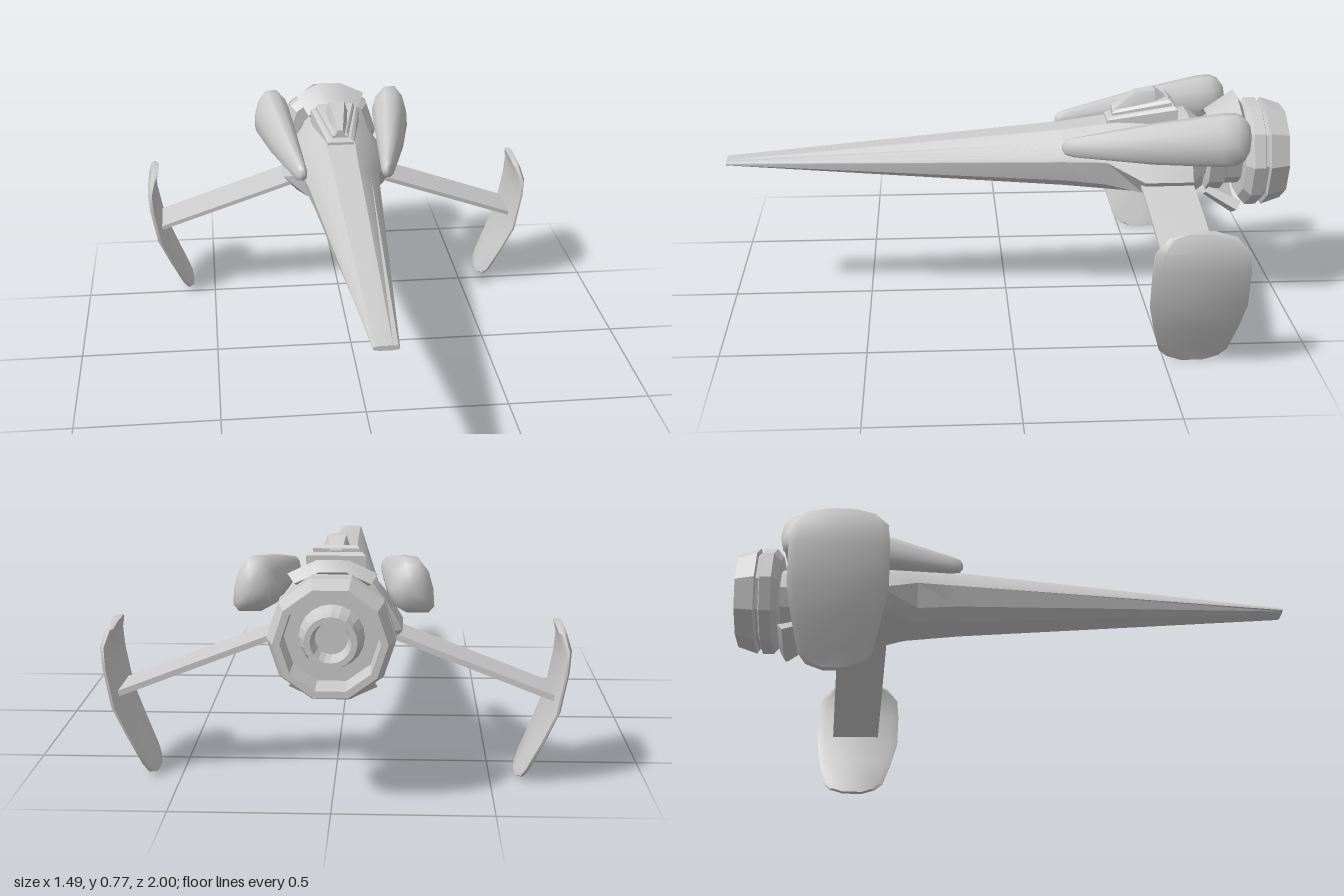
import * as THREE from 'three';
import { toCreasedNormals } from 'three/addons/utils/BufferGeometryUtils.js';

const AXIS_Y = 0.535; // height of the engine axis

// Skin a list of equal-length closed rings, cap both ends, face outward
function loft(rings, crease = 0.45) {
  const n = rings[0].length, tris = [];
  const mid = r => r.reduce((s, p) => s.add(p), new THREE.Vector3()).divideScalar(n);
  for (let i = 0; i < rings.length - 1; i++) {
    for (let j = 0; j < n; j++) {
      const k = (j + 1) % n, a = rings[i], b = rings[i + 1];
      tris.push([a[j], a[k], b[k]], [a[j], b[k], b[j]]);
    }
  }
  const first = rings[0], last = rings[rings.length - 1], c0 = mid(first), c1 = mid(last);
  for (let j = 0; j < n; j++) {
    const k = (j + 1) % n;
    tris.push([c0, first[k], first[j]], [c1, last[j], last[k]]);
  }
  let volume = 0;
  const cross = new THREE.Vector3();
  const o = mid(rings[0]);
  for (const [a, b, c] of tris) {
    volume += a.clone().sub(o).dot(cross.crossVectors(b.clone().sub(o), c.clone().sub(o)));
  }
  if (volume < 0) tris.forEach(t => t.reverse());
  const geo = new THREE.BufferGeometry().setFromPoints(tris.flat());
  return toCreasedNormals(geo, crease);
}

const V = (x, y, z) => new THREE.Vector3(x, y, z);

export function createModel() {
  const model = new THREE.Group();
  const smooth = new THREE.MeshStandardMaterial({ color: 0xcccccc });
  const flat = new THREE.MeshStandardMaterial({ color: 0xcccccc, flatShading: true, side: THREE.DoubleSide });
  const add = (name, geo, mat = smooth) => {
    const mesh = new THREE.Mesh(geo, mat);
    mesh.name = name;
    model.add(mesh);
    return mesh;
  };

  // Needle hull: half sections run from the top ridge down to the keel
  const hullSections = [
    [1.0, [[0.02, 0.541], [0.036, 0.539], [0.04, 0.535], [0.041, 0.53], [0.036, 0.527], [0.02, 0.525]]],
    [-0.2, [[0.05, 0.645], [0.095, 0.61], [0.122, 0.565], [0.132, 0.55], [0.115, 0.475], [0.06, 0.438]]],
    [-0.35, [[0.055, 0.664], [0.108, 0.62], [0.137, 0.575], [0.147, 0.55], [0.125, 0.46], [0.07, 0.425]]],
    [-0.48, [[0.06, 0.678], [0.12, 0.635], [0.168, 0.575], [0.215, 0.495], [0.165, 0.44], [0.08, 0.415]]],
    [-0.65, [[0.06, 0.69], [0.12, 0.645], [0.17, 0.575], [0.215, 0.495], [0.165, 0.435], [0.08, 0.405]]],
    [-0.7, [[0.05, 0.655], [0.09, 0.625], [0.125, 0.565], [0.14, 0.5], [0.11, 0.445], [0.06, 0.42]]],
  ];
  add('hull', loft(hullSections.map(([z, half]) => [
    ...half.map(([x, y]) => V(x, y, z)),
    ...half.slice().reverse().map(([x, y]) => V(-x, y, z)),
  ])));

  // Cockpit: two stepped trapezoid frames and a faceted canopy
  const tier = (y, grow) => [
    V(-0.05 + grow, y, -0.36 - grow), V(0.05 - grow, y, -0.36 - grow),
    V(0.095 - grow, y + 0.05, -0.605 + grow), V(-0.095 + grow, y + 0.05, -0.605 + grow),
  ];
  add('cockpitBase', loft([tier(0.62, 0), tier(0.675, 0), tier(0.685, 0.012)]));
  add('cockpitFrame', loft([tier(0.67, 0.02), tier(0.695, 0.02), tier(0.705, 0.028)]));
  const canopy = [
    [-0.38, 0.018, 0.70, 0.715, 0.01], [-0.46, 0.034, 0.725, 0.77, 0.022],
    [-0.53, 0.045, 0.735, 0.78, 0.03], [-0.59, 0.03, 0.725, 0.74, 0.018],
  ];
  add('canopy', loft(canopy.map(([z, w, y, top, t]) => [
    V(w, 0.67, z), V(w, y, z), V(t, top, z), V(-t, top, z), V(-w, y, z), V(-w, 0.67, z),
  ])));

  // Engine parts are turned around the z axis; profiles are [radius, z]
  const turn = (name, profile, sides) => {
    const geo = new THREE.LatheGeometry(profile.map(([r, z]) => new THREE.Vector2(r, -z)), sides, Math.PI / 2);
    geo.rotateX(-Math.PI / 2).translate(0, AXIS_Y, 0);
    return add(name, geo, flat);
  };
  turn('engineNeck', [[0, -0.66], [0.09, -0.66], [0.09, -0.72], [0.135, -0.725], [0.135, -0.78],
    [0.115, -0.79], [0.115, -0.86]], 10);
  turn('engineBell', [[0.1, -0.845], [0.165, -0.845], [0.195, -0.87], [0.195, -0.91], [0.18, -0.915],
    [0.18, -0.925], [0.195, -0.93], [0.172, -1], [0.15, -1], [0.145, -0.9], [0, -0.9]], 10);
  turn('engineNozzle', [[0.1, -0.9], [0.085, -0.935], [0.08, -0.98], [0.062, -0.98], [0.05, -0.92], [0, -0.92]], 20);

  // Flared shields above and below the neck
  const shieldProfile = [[0.155, -0.72], [0.135, -0.735], [0.19, -0.845], [0.225, -0.825]];
  for (const [name, up] of [['upperShield', 1], ['lowerShield', -1]]) {
    add(name, loft([-0.66, -0.22, 0.22, 0.66].map(a =>
      shieldProfile.map(([r, z]) => V(r * Math.sin(a), AXIS_Y + up * r * Math.cos(a), z)))));
  }

  // Teardrop pod: a wedge-like section [x, y], -1..1, swept along the side
  const podShape = [[-0.3, 1], [0.3, 1], [0.75, 0.5], [0.95, -0.1], [1, -0.75], [0.75, -1],
    [-0.2, -1], [-0.85, -0.7], [-1, -0.1], [-0.8, 0.5]];
  const pod = [ // z, centre x, centre y, half width, half height
    [-0.19, 0.157, 0.615, 0.006, 0.01], [-0.2, 0.158, 0.615, 0.016, 0.024], [-0.23, 0.163, 0.617, 0.024, 0.032],
    [-0.5, 0.206, 0.642, 0.054, 0.066], [-0.73, 0.236, 0.663, 0.072, 0.085], [-0.78, 0.24, 0.667, 0.07, 0.084],
    [-0.81, 0.24, 0.668, 0.058, 0.07], [-0.828, 0.24, 0.668, 0.038, 0.046], [-0.835, 0.24, 0.668, 0.014, 0.018],
  ];

  // Bowed fin: y, x on the mid-surface, front z, back z
  const fin = [
    [0.512, 0.713, -0.54, -0.64], [0.497, 0.719, -0.48, -0.70], [0.45, 0.732, -0.437, -0.745],
    [0.38, 0.727, -0.43, -0.75], [0.25, 0.703, -0.43, -0.75], [0.15, 0.661, -0.452, -0.733],
    [0.05, 0.616, -0.48, -0.71], [0.02, 0.602, -0.51, -0.685], [0.006, 0.597, -0.55, -0.64],
  ];
  // Plate section: thickness factor at each fraction of the chord
  const plate = [[0, 0.3], [0.08, 1], [0.5, 1.1], [0.92, 1], [1, 0.3]];
  const plateRing = ([y, x, z0, z1]) => [
    ...plate.map(([t, k]) => V(x + 0.012 * k, y, z0 + (z1 - z0) * t)),
    ...plate.slice().reverse().map(([t, k]) => V(x - 0.012 * k, y, z0 + (z1 - z0) * t)),
  ];

  // Thin drooping wing: x, y, front z, back z
  const wing = [[0.15, 0.488, -0.465, -0.65], [0.71, 0.28, -0.51, -0.69]];
  const wingRing = ([x, y, z0, z1]) => [
    V(x, y - 0.008, z0), V(x, y + 0.008, z0), V(x, y + 0.01, z1), V(x, y - 0.01, z1),
  ];

  // Pods, wings and fins on both sides
  for (const [side, s] of [['left', 1], ['right', -1]]) {
    const mirror = rings => rings.map(r => r.map(p => V(p.x * s, p.y, p.z)));
    add(side + 'Pod', loft(mirror(pod.map(([z, x, y, w, h]) =>
      podShape.map(([u, v]) => V(x + u * w, y + v * h, z)))), 1.1));
    add(side + 'Wing', loft(mirror(wing.map(wingRing))));
    add(side + 'Fin', loft(mirror(fin.map(plateRing)), 0.7));
  }
  return model;
}
